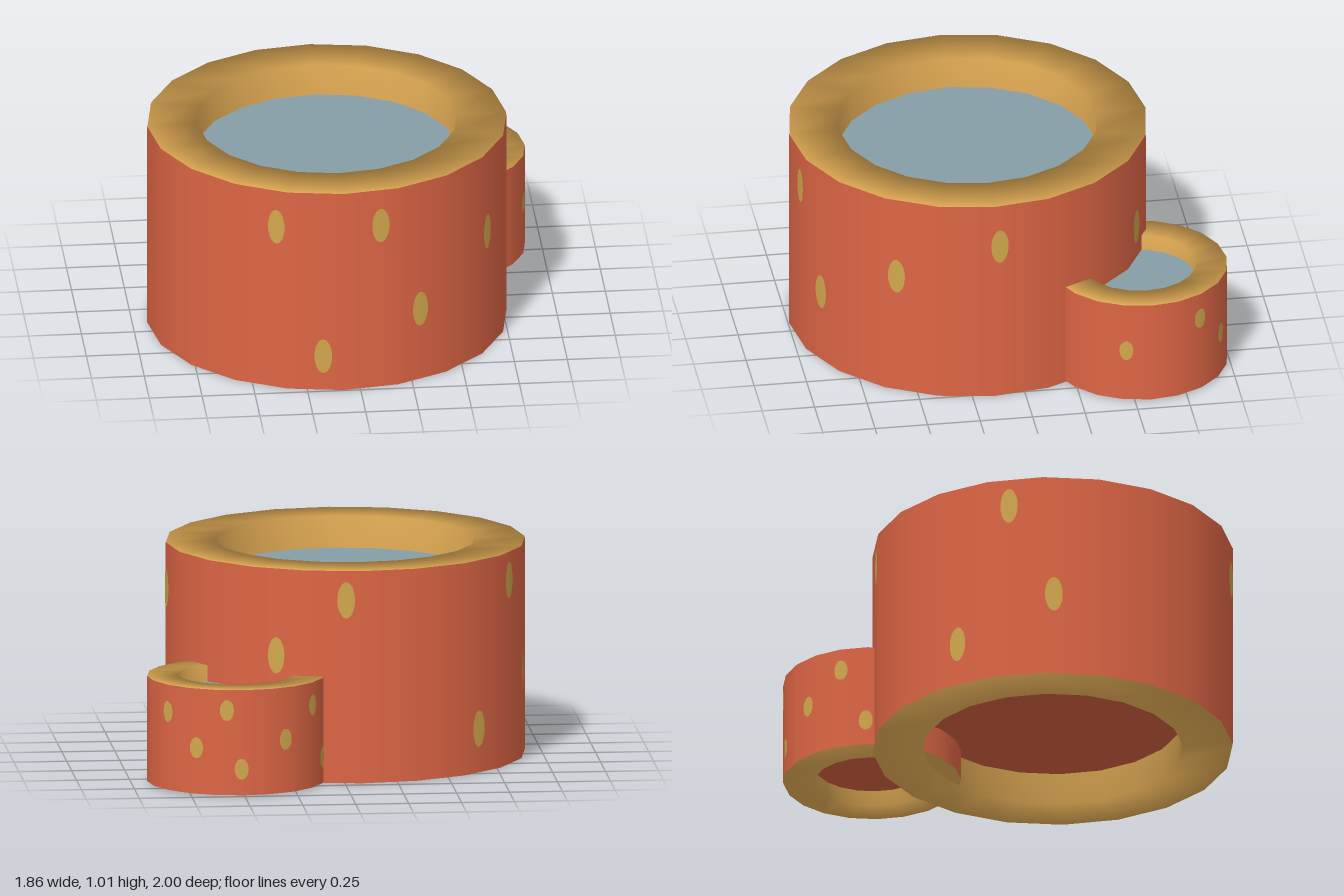
import * as THREE from 'three';

const SIDES = 20;
const STEP = (Math.PI * 2) / SIDES;

const colour = (name, hex) => {
  const m = new THREE.MeshStandardMaterial({ color: hex });
  m.name = name;
  return m;
};

const named = (name, geometry, material) => {
  const mesh = new THREE.Mesh(geometry, material);
  mesh.name = name;
  return mesh;
};

// Thin oval patch that hugs the faceted wall; angle is measured from +z towards +x
function spotGeometry(radius, angle, y, halfW, halfH) {
  const geo = new THREE.RingGeometry(0, 1, 24, 4);
  const pos = geo.attributes.position;
  const normal = geo.attributes.normal;
  for (let i = 0; i < pos.count; i++) {
    const t = angle + (pos.getX(i) * halfW) / radius;
    const inFacet = t - Math.floor(t / STEP) * STEP - STEP / 2;
    const r = (radius * Math.cos(STEP / 2)) / Math.cos(inFacet) + 0.003;
    pos.setXYZ(i, r * Math.sin(t), y + pos.getY(i) * halfH, r * Math.cos(t));
    normal.setXYZ(i, Math.sin(t), 0, Math.cos(t));
  }
  return geo;
}

// Round tub: red outer wall, gold liner with both rims, filled core and spots
function createTub(name, o, mats) {
  const tub = new THREE.Group();
  tub.name = name;
  const { outer, inner, height, inset } = o;

  const wall = new THREE.CylinderGeometry(outer, outer, height, SIDES, 1, true);
  wall.translate(0, height / 2, 0);
  tub.add(named('outerWall', wall, mats.red));

  // Smooth closed loop, starting and ending halfway up, just behind the wall
  const ro = outer - 0.002;
  const profile = [
    [ro, height / 2], [ro, height], [inner, height],
    [inner, 0], [ro, 0], [ro, height / 2],
  ].map(([x, y]) => new THREE.Vector2(x, y));
  tub.add(named('goldLiner', new THREE.LatheGeometry(profile, SIDES), mats.gold));

  // Water surface on top, red underside below
  const core = new THREE.CylinderGeometry(inner, inner, height - 2 * inset, SIDES);
  core.translate(0, height / 2, 0);
  tub.add(named('waterCore', core, [mats.red, mats.water, mats.red]));

  for (const [deg, y] of o.spots) {
    const geo = spotGeometry(outer, THREE.MathUtils.degToRad(deg), y, o.spotW, o.spotH);
    tub.add(named('spot', geo, mats.spot));
  }
  tub.position.set(...o.position);
  return tub;
}

export function createModel() {
  const mats = {
    red: colour('clay red', 0xde6645),
    gold: colour('rim gold', 0xdca752),
    water: colour('water blue grey', 0x869ea8),
    spot: colour('spot yellow', 0xd2a84c),
  };
  const model = new THREE.Group();
  model.name = 'twinTubs';

  model.add(createTub('largeTub', {
    outer: 0.85, inner: 0.613, height: 1.015, inset: 0.153,
    position: [-0.08, 0, 0.145],
    spotW: 0.042, spotH: 0.087,
    spots: [
      [-21.7, 0.83], [12.2, 0.833], [58, 0.608], [26.2, 0.363], [-6.5, 0.174], [91.7, 0.8],
      [152, 0.6], [175, 0.875], [241, 0.88], [255.5, 0.41], [223, 0.21],
    ],
  }, mats));

  model.add(createTub('smallTub', {
    outer: 0.42, inner: 0.27, height: 0.503, inset: 0.076,
    position: [0.505, 0.006, -0.58],
    spotW: 0.033, spotH: 0.05,
    spots: [
      [73.4, 0.262], [125, 0.375], [148.5, 0.22], [169, 0.405], [178.5, 0.125],
      [209, 0.255], [234.6, 0.395], [251, 0.125],
    ],
  }, mats));

  return model;
}
